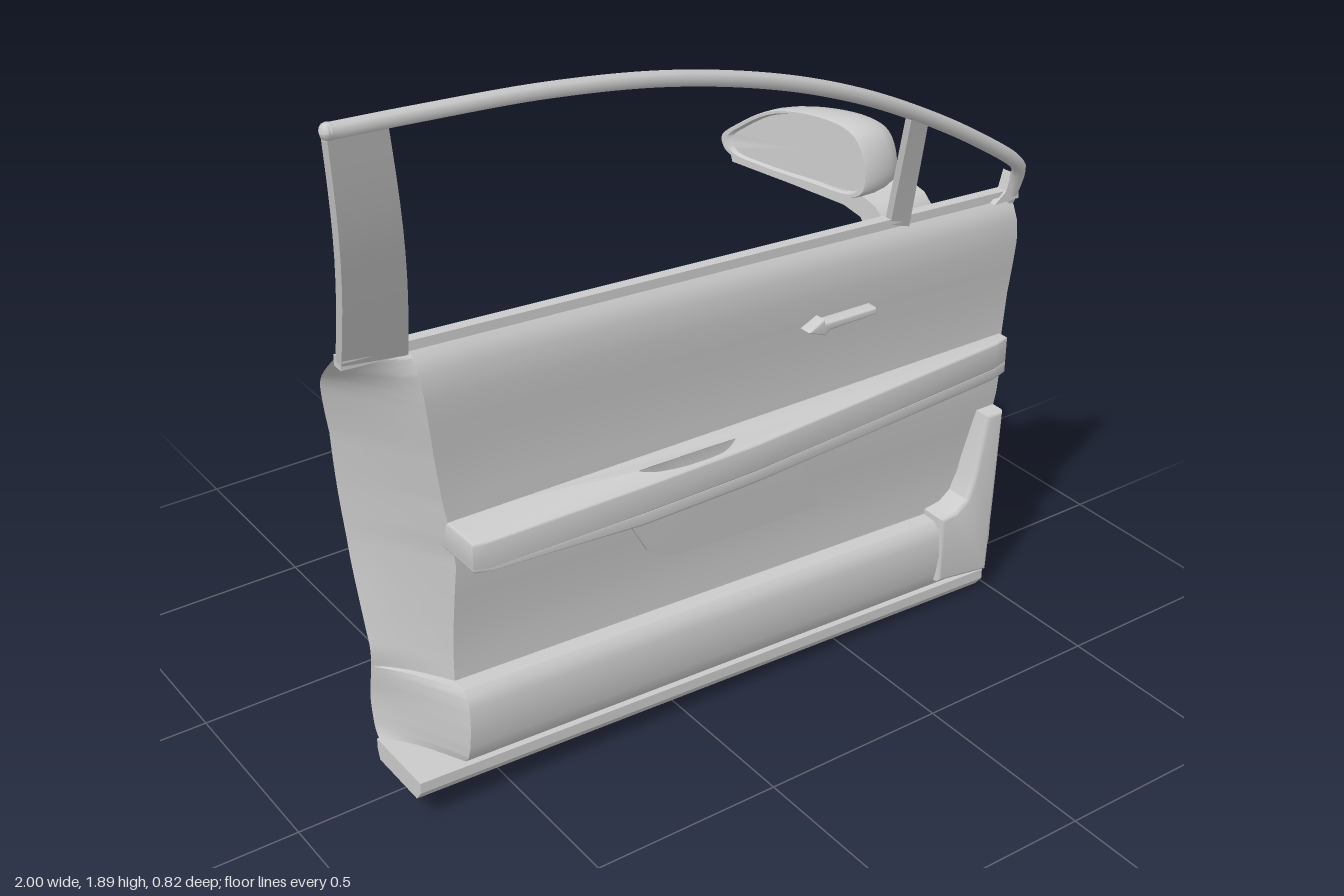
import * as THREE from 'three';
import { toCreasedNormals } from 'three/addons/utils/BufferGeometryUtils.js';

const V2 = (p) => new THREE.Vector2(p[0], p[1]);
const V3 = (x, y, z) => new THREE.Vector3(x, y, z);
const lerp = THREE.MathUtils.lerp;

// piecewise linear lookup in a list of [key, value]
function table(t, k) {
  for (let i = 1; i < t.length; i++) {
    if (k <= t[i][0]) return lerp(t[i - 1][1], t[i][1], (k - t[i - 1][0]) / (t[i][0] - t[i - 1][0]));
  }
  return t[t.length - 1][1];
}

// door outline: lower and upper edge along x, rear and front edge along the height fraction v
const bottomY = (x) => lerp(0.12, 0.05, (x + 0.75) / 1.73);
const topY = (x) => lerp(1.255, 1.16, (x + 0.875) / 1.85);
const rearX = (v) => table([[0, -0.75], [0.25, -0.76], [0.5, -0.78], [0.75, -0.81], [0.9, -0.845], [1, -0.875]], v);
const trimX = (v) => table([[0, -0.625], [0.5, -0.625], [0.6, -0.645], [1, -0.72]], v);
const frontX = (v) => table([[0, 0.975], [0.5, 0.995], [0.9, 0.99], [1, 0.975]], v);
const heightY = (x, v) => lerp(bottomY(x), topY(x), v);

const SKIN = new THREE.SplineCurve([[0, -0.055], [0.03, -0.072], [0.1, -0.077], [0.17, -0.06], [0.23, -0.05],
  [0.3, -0.062], [0.45, -0.085], [0.6, -0.087], [0.75, -0.07], [0.84, -0.05], [0.89, -0.025], [0.94, 0.035],
  [1, 0.12]].map(V2)).getPoints(84).map((p) => [p.x, p.y]);
const TRIM = [[0, 0.13], [0.02, 0.148], [0.05, 0.158], [0.1, 0.165], [0.15, 0.163], [0.175, 0.155], [0.188, 0.14],
  [0.19, 0.1], [0.25, 0.1], [0.32, 0.106], [0.4, 0.118], [0.48, 0.132], [0.55, 0.138], [0.64, 0.135], [0.75, 0.145],
  [0.82, 0.156], [0.88, 0.164], [0.94, 0.166], [0.975, 0.155], [1, 0.13]];

function skinPoint(u, v) {
  const x = lerp(rearX(v), frontX(v), u), y = heightY(x, v);
  const e = ((x + 0.49) / 0.21) ** 2 + ((y - 1.1) / 0.06) ** 2;
  const dent = 0.055 * Math.sqrt(Math.max(0, 1 - e));
  return V3(x, y - dent * 0.3, table(SKIN, v) + 0.015 * u * (1 - v) + dent);
}
function trimPoint(u, v) {
  const x = lerp(trimX(v), frontX(v), u);
  return V3(x, heightY(x, v), table(TRIM, v));
}

// surface through a list of rows of points
function sheet(rows) {
  const n = rows[0].length, index = [];
  for (let i = 0; i < rows.length - 1; i++) {
    for (let j = 0; j < n - 1; j++) {
      const a = i * n + j, b = a + 1, c = a + n, d = c + 1;
      index.push(a, b, d, a, d, c);
    }
  }
  const g = new THREE.BufferGeometry().setFromPoints(rows.flat());
  g.setIndex(index);
  return g;
}
const grid = (vs, n, fn) => sheet(vs.map((v) => Array.from({ length: n + 1 }, (_, i) => fn(i / n, v))));

// move every vertex by a rule
function warp(g, fn) {
  const p = g.attributes.position;
  for (let i = 0; i < p.count; i++) {
    const q = fn(p.getX(i), p.getY(i), p.getZ(i));
    p.setXYZ(i, q.x, q.y, q.z);
  }
  return g;
}
function extrude(shape, depth, bevel = 0) {
  return new THREE.ExtrudeGeometry(shape, { depth: depth - 2 * bevel, bevelEnabled: bevel > 0, bevelSize: bevel,
    bevelOffset: -bevel, bevelThickness: bevel, bevelSegments: 3, curveSegments: 16 }).translate(0, 0, bevel);
}
const polygon = (pts) => new THREE.Shape(pts.map(V2));

export function createModel() {
  const door = new THREE.Group();
  door.name = 'carDoor';
  const solid = new THREE.MeshStandardMaterial({ color: 0xcccccc });
  const open = new THREE.MeshStandardMaterial({ color: 0xcccccc, side: THREE.DoubleSide });
  const add = (name, g, mat = solid, crease = 0.6) => {
    g.deleteAttribute('normal');
    g.deleteAttribute('uv');
    const m = new THREE.Mesh(toCreasedNormals(g, crease), mat);
    m.name = name;
    door.add(m);
    return m;
  };

  // shell: outer skin, inner trim and the edges joining them
  const skinV = SKIN.map((p) => p[0]), trimV = TRIM.map((p) => p[0]);
  add('outerSkin', grid(skinV, 110, (u, v) => skinPoint(1 - u, v)), open);
  add('innerTrim', grid(trimV, 12, trimPoint), open);
  const edgeV = [...new Set([...trimV, ...skinV])].sort((a, b) => a - b);
  add('rearJamb', grid(edgeV, 6, (u, v) => {
    const p = skinPoint(0, v).lerp(trimPoint(0, v), u);
    p.z -= 0.02 * Math.sin(Math.PI * u) * (1 - v);
    return p;
  }), open);
  add('frontJamb', grid(edgeV, 2, (u, v) => trimPoint(1, v).lerp(skinPoint(1, v), u)), open);

  // sill strip under the door, narrower at its foot
  add('sillStrip', warp(new THREE.BoxGeometry(1, 1, 1, 4, 2, 1), (x, y, z) => {
    const px = 0.112 + x * 1.735, foot = y < -0.4 ? 1 : 0;
    return V3(px, bottomY(px) - 0.025 + y * 0.056, 0.047 + z * (0.205 - 0.03 * foot) - 0.006 * foot);
  }));

  // weatherstrip along the belt line: a wide lip and a thin bead
  for (const [name, dy, h, z, d] of [['beltLip', -0.008, 0.026, 0.128, 0.03], ['beltBead', 0.008, 0.014, 0.14, 0.028]]) {
    add(name, warp(new THREE.BoxGeometry(1.85, h, d), (x, y, pz) => V3(x + 0.05, topY(x + 0.05) + y + dy, pz + z)));
  }

  // armrest with a pull cup
  const armOutline = () => polygon([[-0.645, 0.1], [-0.645, 0.245], [-0.6, 0.252], [-0.2, 0.25], [0.12, 0.243],
    [0.5, 0.212], [0.94, 0.175], [0.99, 0.16], [0.99, 0.1]]);
  const armTop = armOutline();
  armTop.holes.push(new THREE.Path(new THREE.SplineCurve([[-0.18, 0.19], [-0.14, 0.22], [-0.06, 0.236], [0.04, 0.233],
    [0.1, 0.2], [0.1, 0.185], [-0.17, 0.18]].map(V2)).getPoints(28)));
  const lay = (g, y0) => warp(g, (x, z, h) => {
    const rearLift = 0.06 * Math.max(0, (-0.5 - x) / 0.145) ** 2 * (y0 < 0.69 ? 1 - h / 0.04 : 0);
    return V3(x, y0 + h - 0.012 * x + Math.min(rearLift, 0.03), z);
  });
  add('armrestBase', lay(extrude(armOutline(), 0.04, 0.008), 0.668), open);
  add('armrestTop', lay(extrude(armTop, 0.075, 0.006), 0.7), open);

  // insert panel set on the trim below the armrest
  const insert = polygon([[-0.21, 0.68], [-0.16, 0.6], [-0.1, 0.5], [-0.06, 0.465], [0.0, 0.45], [0.43, 0.435],
    [0.37, 0.55], [0.3, 0.68]]);
  add('trimInsert', warp(extrude(insert, 0.014), (x, y, z) => {
    const v = (y - bottomY(x)) / (topY(x) - bottomY(x));
    return V3(x, y, z + table(TRIM, v) - 0.004);
  }));

  // raised front end of the lower pocket
  add('pocketFront', extrude(polygon([[0.8, 0.09], [0.8, 0.283], [0.85, 0.29], [0.885, 0.315], [0.905, 0.37],
    [0.935, 0.55], [0.992, 0.55], [0.985, 0.3], [0.975, 0.065]]), 0.13, 0.012).translate(0, 0, 0.04));

  // inside release lever
  add('insideLever', extrude(polygon([[0.315, 0.985], [0.36, 1.008], [0.365, 0.996], [0.52, 0.993], [0.525, 0.975],
    [0.38, 0.974], [0.365, 0.963]]), 0.04, 0.005).translate(0, 0, 0.148));

  // outside grab handle bridging its recess
  add('outsideHandle', warp(new THREE.CapsuleGeometry(0.016, 0.36, 6, 14, 16).rotateZ(Math.PI / 2), (x, y, z) => {
    const bow = 1 - (x / 0.2) ** 2;
    return V3(x - 0.49, 1.1 + y * (0.7 + 0.5 * bow), -0.02 - 0.018 * bow + z * 0.8);
  }), solid, 1);

  // window frame: arched rail
  const rail = new THREE.CatmullRomCurve3([[-0.995, 1.87, 0.393], [-0.8, 1.857, 0.382], [-0.5, 1.83, 0.362],
    [-0.2, 1.78, 0.338], [0.1, 1.698, 0.31], [0.35, 1.602, 0.282], [0.6, 1.478, 0.247], [0.8, 1.362, 0.218],
    [0.93, 1.275, 0.195], [0.958, 1.245, 0.183], [0.972, 1.2, 0.16], [0.975, 1.14, 0.135]].map((p) => V3(...p)));
  add('windowRail', new THREE.TubeGeometry(rail, 90, 0.018, 8), open, 0.9);
  add('railEnd', new THREE.SphereGeometry(0.018, 8, 6).translate(-0.988, 1.87, 0.393), solid, 0.9);
  add('railFoot', extrude(polygon([[0.91, 1.15], [0.945, 1.178], [0.958, 1.225], [0.985, 1.21], [0.988, 1.15]]), 0.03)
    .translate(0, 0, 0.13));

  // rear pillar and slim front post, both leaning inward
  const post = (name, x0, x1, w0, w1, y0, y1, z0, z1, bow, thick) =>
    add(name, warp(new THREE.BoxGeometry(1, 1, 1, 1, 10, 1), (x, y, z) => {
      const t = y + 0.5;
      return V3(lerp(x0, x1, t) + x * lerp(w0, w1, t), lerp(y0, y1, t) - 0.02 * x * (1 - t),
        lerp(z0, z1, t) + bow * Math.sin(Math.PI * t) + z * thick);
    }));
  post('rearPillar', -0.797, -0.932, 0.155, 0.125, 1.235, 1.86, 0.132, 0.388, 0.025, 0.026);
  post('frontPost', 0.612, 0.558, 0.06, 0.055, 1.17, 1.495, 0.14, 0.25, 0, 0.02);

  // door mirror: rounded housing with an inset glass facing the rear
  const glassX = (z) => 0.608 + (z - 0.01) * 0.268;
  const depth = (z) => lerp(0.165, 0.085, THREE.MathUtils.clamp(-z / 0.41, 0, 1));
  const outline = new THREE.CatmullRomCurve3([[0.018, 1.21], [0.018, 1.28], [-0.01, 1.34], [-0.06, 1.364],
    [-0.18, 1.364], [-0.27, 1.342], [-0.36, 1.285], [-0.412, 1.235], [-0.395, 1.2], [-0.3, 1.186], [-0.14, 1.183],
    [-0.01, 1.185]].map(([z, y]) => V3(0, y, z)), true).getPoints(56);
  const rings = [[0.001, 0.1], [0.88, 0.1], [0.92, 0], [0.98, 0], [1, 0.05], [1, 0.3], [0.97, 0.5], [0.91, 0.7],
    [0.8, 0.85], [0.62, 0.95], [0.35, 0.99], [0.001, 1]];
  add('mirrorHousing', sheet(rings.map(([s, d]) => outline.map((o) => {
    const z = lerp(-0.17, o.z, s), y = lerp(1.265, o.y, s);
    return V3(glassX(z) + depth(z) * d, y, z);
  }))), open, 0.7);

  // mirror arm: flat tray bending down to the door shoulder (drawn in -z, y)
  const arm = polygon([[0.39, 1.19], [0.385, 1.172], [0.2, 1.163], [0.05, 1.153], [0.0, 1.135], [-0.02, 1.1],
    [-0.03, 1.07], [-0.075, 1.09], [-0.068, 1.14], [-0.04, 1.175], [0.0, 1.192]].reverse());
  add('mirrorArm', warp(extrude(arm, 1), (x, y, d) => V3(glassX(-x) + 0.012 + d * depth(-x) * 0.95, y, -x)));

  return door;
}
